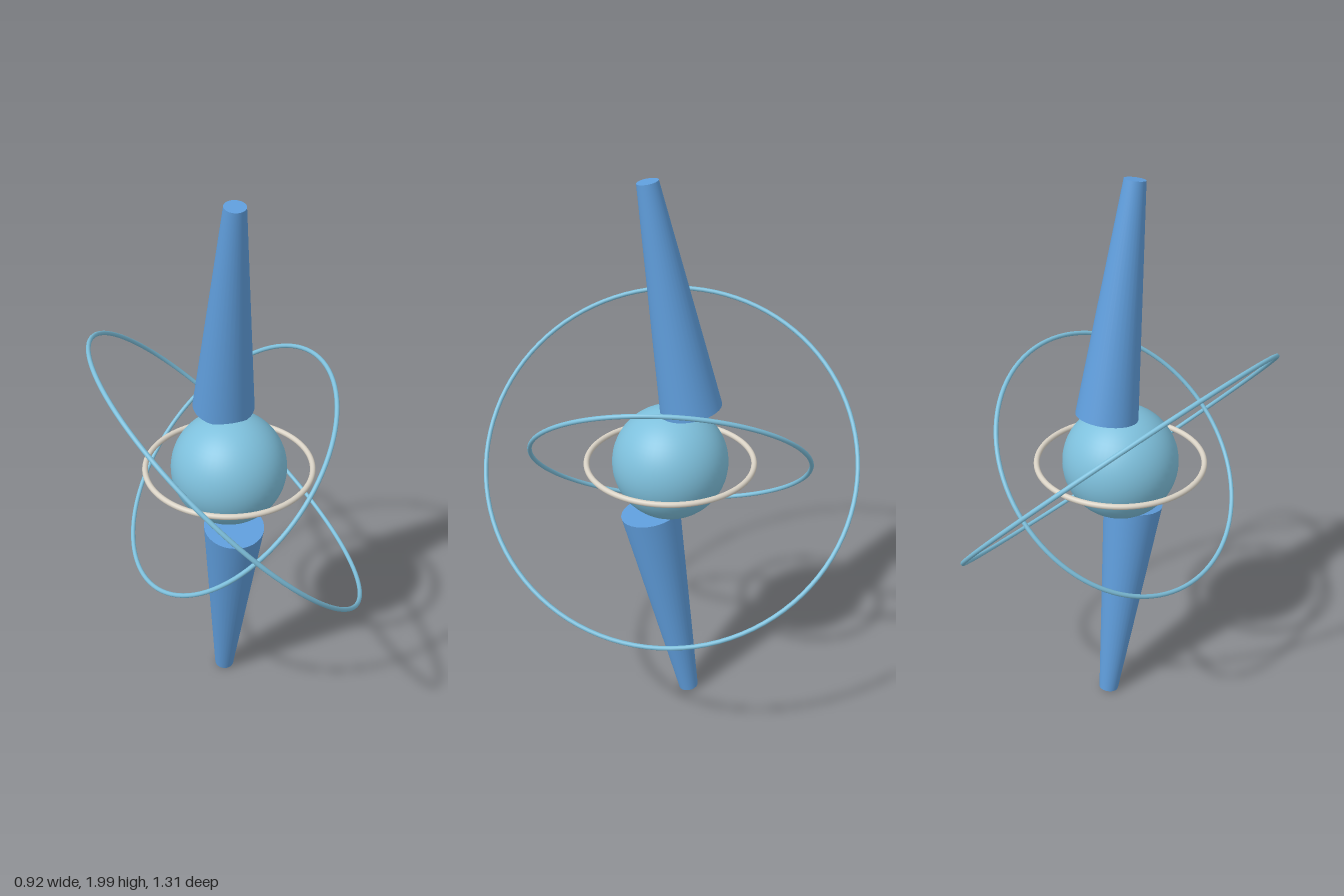
import * as THREE from 'three';

const material = (name, color) => {
  const m = new THREE.MeshStandardMaterial({ color });
  m.name = name;
  return m;
};

export function createModel() {
  const model = new THREE.Group();
  model.name = 'ringedCore';
  const skyBlue = material('skyBlue', 0x7ec0dc);
  const bladeBlue = material('bladeBlue', 0x5f9ddb);
  const paleStone = material('paleStone', 0xd9d2c5);

  const add = (name, geometry, mat, y = 1) => {
    const mesh = new THREE.Mesh(geometry, mat);
    mesh.name = name;
    mesh.position.y = y;
    model.add(mesh);
    return mesh;
  };

  // Central sphere
  add('core', new THREE.SphereGeometry(0.203, 48, 32), skyBlue);

  // Tapered blades, both leaning the same way with the wide end at the core
  const lean = 0.18;
  const wide = 0.107, narrow = 0.036, length = 0.794;
  add('upperBlade', new THREE.CylinderGeometry(narrow, wide, length, 32), bladeBlue, 1.6).rotation.x = lean;
  add('lowerBlade', new THREE.CylinderGeometry(wide, narrow, length, 32), bladeBlue, 0.4).rotation.x = lean;

  // Rings around the core: radius, tube radius, tilt about z
  const rings = [
    ['innerRing', 0.292, 0.01, 0, paleStone],
    ['middleRing', 0.49, 0.0078, 0.8, skyBlue],
    ['outerRing', 0.649, 0.0078, -0.8, skyBlue],
  ];
  for (const [name, radius, tube, tilt, mat] of rings) {
    const geometry = new THREE.TorusGeometry(radius, tube, 16, 100).rotateX(Math.PI / 2);
    add(name, geometry, mat).rotation.z = tilt;
  }

  return model;
}
